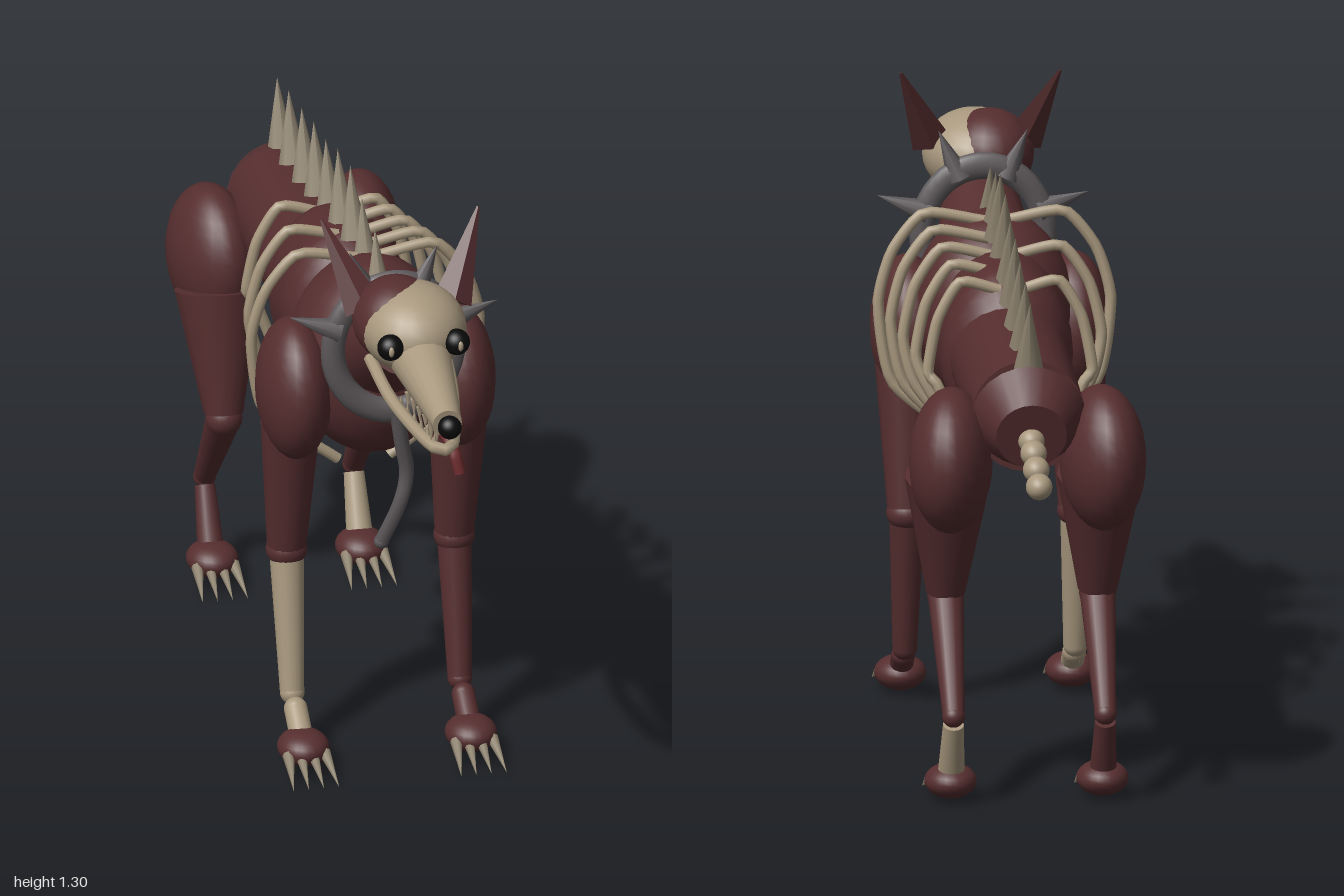
import * as THREE from 'three';

const mat = (name, color, side = THREE.FrontSide) => {
  const m = new THREE.MeshStandardMaterial({ color, side });
  m.name = name;
  return m;
};

export function createModel() {
  const flesh = mat('dark red flesh', 0x562e2f);
  const bone = mat('bone', 0xa8987e);
  const horn = mat('horn', 0x8f8470);
  const iron = mat('collar grey', 0x5c5759);
  const black = mat('black', 0x0a0a0a);
  const tongueRed = mat('tongue red', 0x6e2c2e);

  const root = new THREE.Group();
  root.name = 'undeadHound';
  const V = (p) => new THREE.Vector3(...p);
  const UP = new THREE.Vector3(0, 1, 0);

  const add = (name, geo, material, parent = root) => {
    const m = new THREE.Mesh(geo, material);
    m.name = name;
    parent.add(m);
    return m;
  };
  const group = (name) => {
    const g = new THREE.Group();
    g.name = name;
    root.add(g);
    return g;
  };
  // Ellipsoid at c with radii r
  const ball = (name, c, r, material, parent) => {
    const m = add(name, new THREE.SphereGeometry(1, 24, 16), material, parent);
    m.position.set(...c);
    m.scale.set(...(Array.isArray(r) ? r : [r, r, r]));
    return m;
  };
  // Tapered round bar from a (radius ra) to b (radius rb); rb = 0 gives a spike
  const bar = (name, a, b, ra, rb, material, parent, sides = 16) => {
    const d = V(b).sub(V(a));
    const m = add(name, new THREE.CylinderGeometry(rb, ra, d.length(), sides), material, parent);
    m.position.copy(V(a)).addScaledVector(d, 0.5);
    m.quaternion.setFromUnitVectors(UP, d.normalize());
    return m;
  };
  const tube = (name, pts, r, material, parent, tension = 0.3) => {
    const curve = new THREE.CatmullRomCurve3(pts.map(V), false, 'catmullrom', tension);
    return add(name, new THREE.TubeGeometry(curve, 32, r, 8), material, parent);
  };

  // Torso: chest, barrel and hindquarters
  const torso = group('torso');
  ball('chest', [0, 0.865, 0.18], [0.172, 0.215, 0.19], flesh, torso);
  const barrel = add('barrel', new THREE.CapsuleGeometry(0.14, 0.1, 8, 24), flesh, torso);
  barrel.rotation.x = Math.PI / 2 - 0.05;
  barrel.scale.set(1, 1, 1.38);
  barrel.position.set(0, 0.855, -0.12);
  bar('loin', [0, 0.855, -0.15], [0, 0.84, -0.7], 0.125, 0.12, flesh, torso, 24);
  bar('rump', [0, 0.84, -0.7], [0, 0.815, -0.78], 0.12, 0.075, flesh, torso, 24);
  ball('neckBase', [0, 0.94, 0.31], 0.108, flesh, torso);
  bar('neck', [0, 0.94, 0.31], [0, 1.04, 0.52], 0.108, 0.078, flesh, torso, 24);

  // Ribs: five on the left, three on the right
  const ribs = group('ribs');
  for (let i = 0; i < 5; i++) {
    const w = 0.245 - 0.018 * i, z = 0.14 - 0.096 * i;
    const top = 1.095 - 0.015 * i, low = 0.595 + 0.02 * i;
    for (const s of i % 2 ? [1] : [1, -1]) {
      tube('rib', [[0.02 * s, top - 0.03, z], [0.6 * w * s, top - 0.01, z], [0.88 * w * s, top - 0.09, z - 0.004],
        [w * s, top - 0.2, z - 0.01], [0.88 * w * s, low + 0.13, z - 0.02],
        [(0.055 + 0.012 * i) * s, low, z - 0.028]], 0.012, bone, ribs);
    }
  }

  // Spikes along the back
  const spine = group('spine');
  const tips = [[1.165, 0.225], [1.18, 0.095], [1.205, -0.02], [1.19, -0.145], [1.16, -0.265],
    [1.15, -0.385], [1.13, -0.505], [1.115, -0.635], [1.095, -0.75]];
  for (const [y, z] of tips) bar('backSpike', [0, y - 0.15, z + 0.045], [0, y, z], 0.031, 0, horn, spine, 8);

  // Tail bones
  const tail = group('tail');
  [[0.805, -0.775], [0.79, -0.83], [0.77, -0.895], [0.75, -0.967]].forEach(([y, z]) =>
    ball('tailBone', [0, y, z], [0.028, 0.028, 0.034], bone, tail));

  // Foot with four claws
  const foot = (parent, x, z) => {
    ball('foot', [x, 0.048, z], [0.055, 0.037, 0.063], flesh, parent);
    for (let i = 0; i < 4; i++) {
      const o = (i - 1.5) * 0.026;
      bar('claw', [x + o, 0.045, z + 0.035], [x + o * 1.25, 0.006, z + 0.133], 0.013, 0, horn, parent, 8);
    }
  };

  for (const s of [1, -1]) {
    const side = s > 0 ? 'left' : 'right';
    // Front leg; the right shin is bare bone
    const front = group(side + 'FrontLeg');
    const fm = s < 0 ? bone : flesh;
    const x = 0.18 * s;
    ball('shoulder', [0.175 * s, 0.82, 0.23], [0.079, 0.155, 0.132], flesh, front);
    bar('upperLeg', [x, 0.74, 0.22], [x, 0.44, 0.18], 0.064, 0.042, flesh, front);
    ball('knee', [x, 0.43, 0.18], [0.044, 0.038, 0.044], flesh, front);
    bar('lowerLeg', [x, 0.42, 0.182], [x, 0.125, 0.236], 0.037, 0.026, fm, front);
    ball('ankle', [x, 0.125, 0.237], 0.026, fm, front);
    ball('wrist', [x, 0.102, 0.272], 0.025, fm, front);
    bar('pastern', [x, 0.102, 0.272], [x, 0.065, 0.325], 0.025, 0.025, fm, front);
    foot(front, x, 0.347);

    // Hind leg; the left hock is bare bone
    const hind = group(side + 'HindLeg');
    const hm = s > 0 ? bone : flesh;
    const h = 0.16 * s;
    const thigh = ball('thigh', [0.16 * s, 0.74, -0.665], [0.088, 0.155, 0.143], flesh, hind);
    thigh.rotation.y = -0.15 * s;
    bar('upperLeg', [h, 0.69, -0.6], [h, 0.43, -0.54], 0.092, 0.042, flesh, hind);
    ball('knee', [h, 0.42, -0.537], 0.039, flesh, hind);
    bar('lowerLeg', [h, 0.42, -0.537], [h, 0.205, -0.73], 0.038, 0.023, flesh, hind);
    ball('hock', [h, 0.203, -0.73], 0.024, flesh, hind);
    bar('metatarsal', [h, 0.185, -0.727], [h, 0.075, -0.675], 0.022, 0.028, hm, hind);
    foot(hind, h, -0.655);
  }

  // Head: bare skull with flesh left on the right rear side
  const head = group('head');
  ball('skull', [0, 1.105, 0.605], [0.112, 0.093, 0.13], bone, head);
  ball('scalp', [-0.028, 1.112, 0.575], [0.094, 0.092, 0.106], flesh, head);
  bar('snout', [0, 1.068, 0.67], [0, 1.03, 0.95], 0.066, 0.031, bone, head, 20);
  ball('nose', [0, 1.03, 0.972], 0.025, black, head);
  tube('jaw', [[0.08, 1.015, 0.55], [0.068, 0.985, 0.68], [0.045, 0.967, 0.8], [0.022, 0.96, 0.9], [0, 0.958, 0.925],
    [-0.022, 0.96, 0.9], [-0.045, 0.967, 0.8], [-0.068, 0.985, 0.68], [-0.08, 1.015, 0.55]], 0.014, bone, head, 0.5);
  tube('tongue', [[0, 0.985, 0.7], [0.004, 0.975, 0.82], [0.014, 0.968, 0.89], [0.024, 0.94, 0.918], [0.032, 0.902, 0.925]],
    0.013, tongueRed, head);

  for (const s of [1, -1]) {
    ball('eye', [0.071 * s, 1.108, 0.712], 0.028, black, head);
    ball('iris', [0.074 * s, 1.108, 0.735], [0.007, 0.012, 0.007], bone, head);

    // Flat pointed ear leaning out and back
    const ear = bar('ear', [0.095 * s, 1.135, 0.56], [0.168 * s, 1.308, 0.475], 0.05, 0.004, flesh, head, 4);
    ear.geometry = ear.geometry.toNonIndexed();
    ear.geometry.scale(0.85, 1, 0.4);
    ear.geometry.computeVertexNormals();

    // Teeth in both jaws
    for (let i = 0; i < 6; i++) {
      const t = i / 5, z = 0.75 + 0.185 * t, x = (0.042 - 0.022 * t) * s;
      const len = i === 4 ? 0.05 : 0.032;
      bar('upperTooth', [x, 1.02 - 0.008 * t, z], [x, 1.015 - len, z + 0.003], 0.008, 0, bone, head, 6);
      const jx = (0.05 - 0.032 * t) * s;
      bar('lowerTooth', [jx, 0.972 - 0.008 * t, z - 0.03], [jx, 1.002 - 0.008 * t, z - 0.03], 0.007, 0, bone, head, 6);
    }
  }

  // Spiked collar with a hanging strap
  const collar = group('collar');
  const ring = add('collarRing', new THREE.TorusGeometry(0.13, 0.026, 10, 40), iron, collar);
  ring.position.set(0, 0.975, 0.41);
  ring.scale.set(1, 1.12, 0.75);
  for (let i = 0; i < 4; i++) {
    const a = THREE.MathUtils.degToRad(20 + (140 / 3) * i);
    const at = (r) => [r * Math.cos(a), 0.98 + r * Math.sin(a), 0.41];
    bar('collarSpike', at(0.125), at(0.238), 0.028, 0, iron, collar, 8);
  }
  const strap = [[0.005, 0.83, 0.425], [0.018, 0.75, 0.412], [0.03, 0.68, 0.402], [0.016, 0.61, 0.4], [-0.018, 0.515, 0.375]];
  tube('strap', strap, 0.016, iron, collar, 0.5);
  ball('strapEnd', strap[4], 0.016, iron, collar);

  return root;
}
